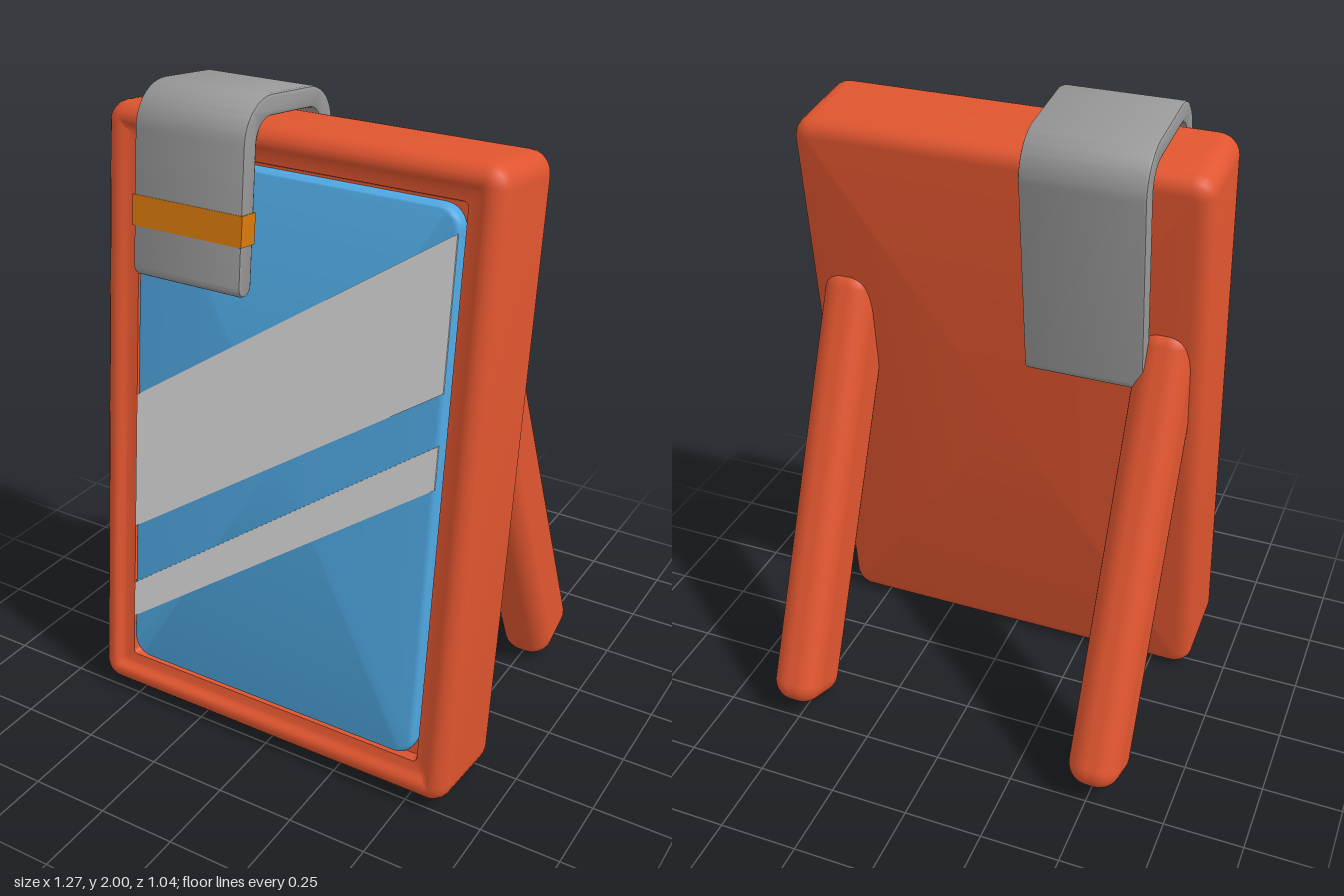
import * as THREE from 'three';
import { toCreasedNormals } from 'three/addons/utils/BufferGeometryUtils.js';
import { RoundedBoxGeometry } from 'three/addons/geometries/RoundedBoxGeometry.js';

const mat = (name, color) => {
  const m = new THREE.MeshStandardMaterial({ color });
  m.name = name;
  return m;
};

// Closed solid from rounded-rectangle rings; profile is [inset, z] from back to front
function ringSolid(width, height, radius, profile) {
  const pos = [], idx = [], steps = 6, n = 4 * (steps + 1);
  for (const [inset, z] of profile) {
    const r = Math.max(radius - inset, 0.015);
    const cx = width / 2 - inset - r, cy = height / 2 - inset - r;
    for (let q = 0; q < 4; q++) {
      const sx = q === 0 || q === 3 ? 1 : -1, sy = q < 2 ? 1 : -1;
      for (let s = 0; s <= steps; s++) {
        const a = (q + s / steps) * Math.PI / 2;
        pos.push(sx * cx + r * Math.cos(a), sy * cy + r * Math.sin(a), z);
      }
    }
  }
  const last = profile.length - 1, back = n * (last + 1), front = back + 1;
  pos.push(0, 0, profile[0][1], 0, 0, profile[last][1]);
  for (let j = 0; j < n; j++) {
    const k = (j + 1) % n;
    for (let i = 0; i < last; i++) {
      const a = i * n + j, b = i * n + k;
      idx.push(a, b, b + n, a, b + n, a + n);
    }
    idx.push(back, k, j, front, last * n + j, last * n + k);
  }
  const g = new THREE.BufferGeometry();
  g.setAttribute('position', new THREE.Float32BufferAttribute(pos, 3));
  g.setIndex(idx);
  return toCreasedNormals(g, 0.7);
}

// Quarter-round edge as [inset, z] points, rising towards the front
function roundEdge(r, z, dir) {
  const pts = [];
  for (let i = 0; i <= 5; i++) {
    const a = (dir > 0 ? i : 5 - i) / 5 * Math.PI / 2;
    pts.push([r * (1 - Math.cos(a)), z - dir * r * (1 - Math.sin(a))]);
  }
  return pts;
}

export function createModel() {
  const red = mat('frame red', 0xe0552f);
  const blue = mat('glass blue', 0x4fa8e2);
  const pale = mat('reflection grey', 0xdcdcdc);
  const grey = mat('clip grey', 0x989898);
  const orange = mat('band orange', 0xd97b0c);

  const model = new THREE.Group();
  const add = (parent, name, geo, material) => {
    const m = new THREE.Mesh(geo, material);
    m.name = name;
    parent.add(m);
    return m;
  };

  // Leaning panel: origin at its lower back edge
  const panel = new THREE.Group();
  panel.name = 'leaningPanel';
  panel.position.set(0, -0.006, 0.2);
  panel.rotation.x = -THREE.MathUtils.degToRad(7);
  model.add(panel);
  const W = 1.27, H = 1.91, T = 0.325;

  // Frame with a shallow recess on the front
  const frame = add(panel, 'frame', ringSolid(W, H, 0.065, [
    ...roundEdge(0.05, 0, -1), ...roundEdge(0.05, T, 1),
    [0.058, 0.322], [0.066, 0.314], [0.074, 0.304], [0.082, 0.3],
    [0.11, 0.297], [0.118, 0.27],
  ]), red);
  frame.position.y = H / 2;

  // Glass, proud of the recess floor
  const glass = add(panel, 'glass', ringSolid(W - 0.24, H - 0.25, 0.065,
    [[0, 0.26], ...roundEdge(0.018, 0.313, 1)]), blue);
  glass.position.y = H / 2;

  // Diagonal reflections: [left low, left high, right low, right high]
  const stripes = [[0.583, 1.027, 1.278, 1.717], [0.261, 0.382, 0.996, 1.127]];
  for (const [a, b, c, d] of stripes) {
    const x = 0.511;
    const s = new THREE.Shape([
      new THREE.Vector2(-x, a), new THREE.Vector2(x, c),
      new THREE.Vector2(x, d), new THREE.Vector2(-x, b),
    ]);
    const g = new THREE.ExtrudeGeometry(s, { depth: 0.005, bevelEnabled: false });
    add(panel, 'reflectionStripe', g, pale).position.z = 0.311;
  }

  // Hooked clip over the top edge, drawn side-on as (z, y)
  const zb = -0.064, zf = 0.394, t = 0.062, top = 1.987, R = 0.13, r = R - t;
  const cy = top - R, backEnd = 1.25, frontEnd = 1.461, PI = Math.PI;
  const hook = new THREE.Shape();
  hook.moveTo(zb, backEnd);
  hook.lineTo(zb, cy);
  hook.absarc(zb + R, cy, R, PI, PI / 2, true);
  hook.lineTo(zf - R, top);
  hook.absarc(zf - R, cy, R, PI / 2, 0, true);
  hook.lineTo(zf, frontEnd);
  hook.absarc(zf - t / 2, frontEnd, t / 2, 0, PI, true);
  hook.lineTo(zf - t, cy);
  hook.absarc(zf - R, cy, r, 0, PI / 2, false);
  hook.lineTo(zb + R, top - t);
  hook.absarc(zb + R, cy, r, PI / 2, PI, false);
  hook.lineTo(zb + t, backEnd);
  hook.absarc(zb + t / 2, backEnd, t / 2, 0, PI, true);
  const hookGeo = new THREE.ExtrudeGeometry(hook, {
    depth: 0.35, curveSegments: 10, bevelThickness: 0.01,
    bevelSize: 0.01, bevelOffset: -0.01, bevelSegments: 2,
  });
  hookGeo.rotateY(-PI / 2);
  add(panel, 'clip', toCreasedNormals(hookGeo, 0.6), grey).position.x = -0.11;

  // Coloured band around the front arm of the clip
  const band = add(panel, 'clipBand', new THREE.BoxGeometry(0.374, 0.09, t + 0.004), orange);
  band.position.set(-0.285, 1.624, zf - t / 2);

  // Two splayed rear legs
  const tilt = THREE.MathUtils.degToRad(23.5), length = 1.45;
  for (const side of [-1, 1]) {
    const geo = new RoundedBoxGeometry(0.165, length, 0.234, 5, 0.07);
    geo.translate(0, length / 2, 0);
    const leg = add(model, side > 0 ? 'leftLeg' : 'rightLeg', geo, red);
    leg.position.set(side * 0.511, 0.037, -0.435);
    leg.rotation.x = tilt;
  }
  return model;
}
